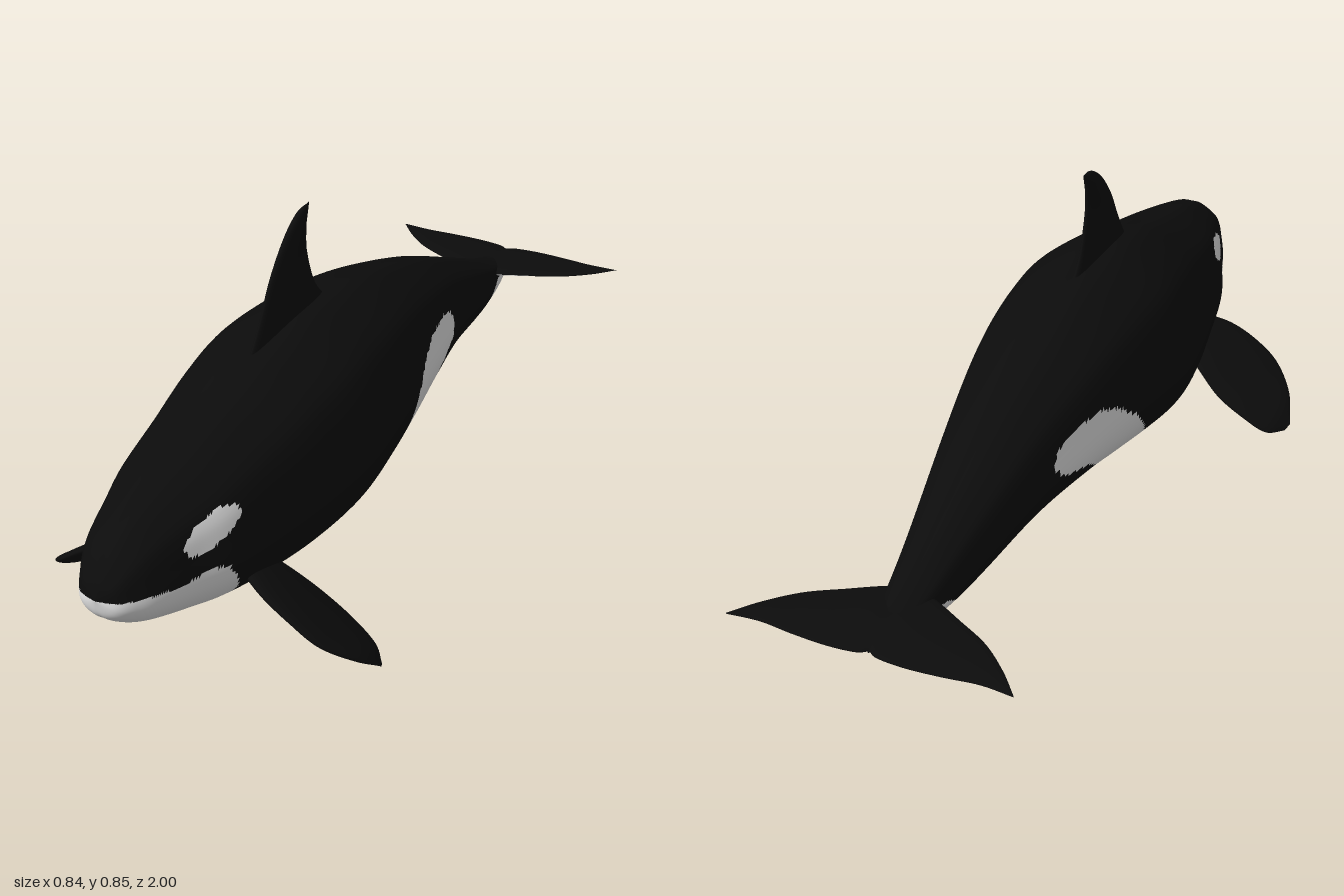
import * as THREE from 'three';

const V = (x, y, z) => new THREE.Vector3(x, y, z);
const spline = (pts, closed = false) => new THREE.CatmullRomCurve3(pts, closed, 'catmullrom', 0.5);

// Is point (z, y) inside a side-view outline?
function inside(poly, z, y) {
  let hit = false;
  for (let i = 0, j = poly.length - 1; i < poly.length; j = i++) {
    const [az, ay] = poly[i], [bz, by] = poly[j];
    if ((ay > y) !== (by > y) && z < ((bz - az) * (y - ay)) / (by - ay) + az) hit = !hit;
  }
  return hit;
}

// Side-view outlines (z, y) of the pale markings
const BELLY = [
  [1.02, 0.318], [0.93, 0.312], [0.85, 0.305], [0.78, 0.31], [0.74, 0.3], [0.715, 0.26],
  [0.69, 0.2], [0.655, 0.165], [0.6, 0.15], [0.5, 0.155], [0.3, 0.158], [0.2, 0.17],
  [0.1, 0.215], [0.03, 0.275], [-0.03, 0.345], [-0.1, 0.4], [-0.17, 0.43], [-0.28, 0.43],
  [-0.34, 0.41], [-0.36, 0.38], [-0.33, 0.345], [-0.22, 0.315], [-0.15, 0.265],
  [-0.125, 0.24], [-0.25, 0.23], [-0.26, 0.1], [1.02, 0.1],
];
const EYE_PATCH = [
  [0.84, 0.38], [0.8, 0.41], [0.73, 0.43], [0.69, 0.42], [0.68, 0.4], [0.72, 0.37],
  [0.78, 0.35], [0.825, 0.355],
];
const TAIL_PATCH = [
  [-0.7, 0.2], [-0.71, 0.25], [-0.75, 0.275], [-0.8, 0.293], [-0.87, 0.29], [-0.94, 0.285],
  [-0.94, 0.2],
];

// Smooth skin over closed rings; faces chosen by isPale go to the second material
function skin(name, rings, materials, isPale = () => false) {
  const n = rings[0].length, pts = rings.flat(), dark = [], pale = [];
  const centre = V(), normal = V(), tri = new THREE.Triangle();
  const add = (a, b, c) => {
    tri.set(pts[a], pts[b], pts[c]);
    if (tri.getArea() < 1e-10) return;
    tri.getMidpoint(centre);
    tri.getNormal(normal);
    (isPale(centre, normal) ? pale : dark).push(a, b, c);
  };
  for (let i = 0; i < rings.length - 1; i++) {
    for (let j = 0; j < n; j++) {
      const a = i * n + j, b = i * n + ((j + 1) % n);
      add(a, b, a + n);
      add(b, b + n, a + n);
    }
  }
  const g = new THREE.BufferGeometry().setFromPoints(pts);
  g.setIndex([...dark, ...pale]);
  g.addGroup(0, dark.length, 0);
  g.addGroup(dark.length, pale.length, 1);
  g.computeVertexNormals();
  const mesh = new THREE.Mesh(g, materials);
  mesh.name = name;
  return mesh;
}

// Fin lofted between a leading and a trailing edge, with half thicknesses
function fin(name, lead, trail, thick, materials, isPale, side = 1) {
  const edge = (e) => spline(e.map(([x, y, z]) => V(x * side, y, z)));
  const L = edge(lead), T = edge(trail), W = spline(thick.map((t) => V(t, 0, 0)));
  const mid = (t) => L.getPoint(t).add(T.getPoint(t)).multiplyScalar(0.5);
  const chord = L.getPoint(0.5).sub(T.getPoint(0.5));
  const N = mid(1).sub(mid(0)).cross(chord).normalize();
  const rings = [], rows = 36, n = 32;
  for (let i = 0; i <= rows; i++) {
    const t = i / rows, m = mid(t), half = L.getPoint(t).sub(m), w = Math.max(W.getPoint(t).x, 0);
    rings.push(Array.from({ length: n }, (_, j) => {
      const a = (j / n) * Math.PI * 2;
      return m.clone().addScaledVector(half, Math.cos(a)).addScaledVector(N, Math.sin(a) * w);
    }));
  }
  return skin(name, rings, materials, isPale);
}

function bodyRings() {
  // z, top, bottom, half width
  const stations = [
    [1, 0.32, 0.318, 0], [0.985, 0.36, 0.273, 0.045], [0.95, 0.405, 0.243, 0.075],
    [0.9, 0.44, 0.217, 0.1], [0.8, 0.475, 0.185, 0.133], [0.7, 0.503, 0.16, 0.166],
    [0.55, 0.545, 0.132, 0.192], [0.4, 0.588, 0.12, 0.217], [0.25, 0.614, 0.128, 0.232],
    [0.1, 0.615, 0.157, 0.222], [-0.05, 0.6, 0.19, 0.202], [-0.2, 0.565, 0.22, 0.175],
    [-0.4, 0.503, 0.236, 0.133], [-0.6, 0.421, 0.226, 0.095], [-0.7, 0.378, 0.226, 0.077],
    [-0.8, 0.337, 0.241, 0.06], [-0.88, 0.312, 0.266, 0.045], [-0.95, 0.3, 0.285, 0.025],
    [-0.985, 0.294, 0.292, 0],
  ];
  // Half cross-section: x / half width, height fraction
  const half = [
    [0.28, 0.985], [0.7, 0.86], [0.86, 0.74], [0.94, 0.57], [1, 0.37], [0.93, 0.22],
    [0.7, 0.09], [0.32, 0.005],
  ];
  const outline = [[0, 1], ...half, [0, 0], ...half.map(([x, y]) => [-x, y]).reverse()];
  const section = spline(outline.map(([x, y]) => V(x, y, 0)), true);
  const top = spline(stations.map(([z, t, , w]) => V(w, t, z)));
  const low = spline(stations.map(([z, , b]) => V(0, b, z)));
  const rows = 252, n = 108, rings = [];
  const shape = Array.from({ length: n }, (_, j) => section.getPoint(j / n));
  for (let i = 0; i <= rows; i++) {
    const a = top.getPoint(i / rows), b = low.getPoint(i / rows);
    rings.push(shape.map((p) => V(p.x * Math.max(a.x, 0), b.y + (a.y - b.y) * p.y, a.z)));
  }
  return rings;
}

export function createModel() {
  const black = new THREE.MeshStandardMaterial({ color: 0x0c0c0c });
  black.name = 'black skin';
  const white = new THREE.MeshStandardMaterial({ color: 0xe8e8e8 });
  white.name = 'white skin';
  const skins = [black, white];
  const whale = new THREE.Group();
  whale.name = 'whale';

  // Body with belly, eye and tail markings
  whale.add(skin('body', bodyRings(), skins, (c) =>
    [BELLY, EYE_PATCH, TAIL_PATCH].some((p) => inside(p, c.z, c.y))));

  // Swept back fin
  whale.add(fin('dorsalFin',
    [[0, 0.56, 0.41], [0, 0.65, 0.35], [0, 0.735, 0.3], [0, 0.805, 0.24], [0, 0.847, 0.18], [0, 0.856, 0.13]],
    [[0, 0.58, 0.04], [0, 0.65, 0.108], [0, 0.74, 0.143], [0, 0.8, 0.147], [0, 0.83, 0.142], [0, 0.855, 0.129]],
    [0.021, 0.017, 0.014, 0.012, 0.009, 0], skins));

  for (const [label, side] of [['left', 1], ['right', -1]]) {
    // Paddle-shaped flippers
    whale.add(fin(label + 'Flipper',
      [[0.13, 0.24, 0.66], [0.2, 0.21, 0.69], [0.27, 0.17, 0.697], [0.335, 0.122, 0.685], [0.39, 0.07, 0.63], [0.418, 0.018, 0.56]],
      [[0.12, 0.2, 0.54], [0.18, 0.15, 0.51], [0.24, 0.1, 0.488], [0.31, 0.055, 0.485], [0.37, 0.018, 0.497], [0.41, 0.008, 0.54]],
      [0.02, 0.02, 0.019, 0.017, 0.012, 0], skins, undefined, side));
    // Tail flukes, pale underneath near the root
    whale.add(fin(label + 'Fluke',
      [[0, 0.305, -0.77], [0.06, 0.306, -0.795], [0.13, 0.304, -0.832], [0.21, 0.302, -0.877], [0.275, 0.3, -0.935], [0.325, 0.298, -0.993]],
      [[0, 0.294, -0.98], [0.025, 0.294, -0.994], [0.09, 0.295, -1], [0.17, 0.296, -0.996], [0.25, 0.297, -0.988], [0.325, 0.297, -0.995]],
      [0.014, 0.013, 0.011, 0.009, 0.007, 0], skins,
      (c, n) => n.y < -0.3 && Math.abs(c.x) < 0.13 && c.z > -0.93, side));
  }
  return whale;
}
